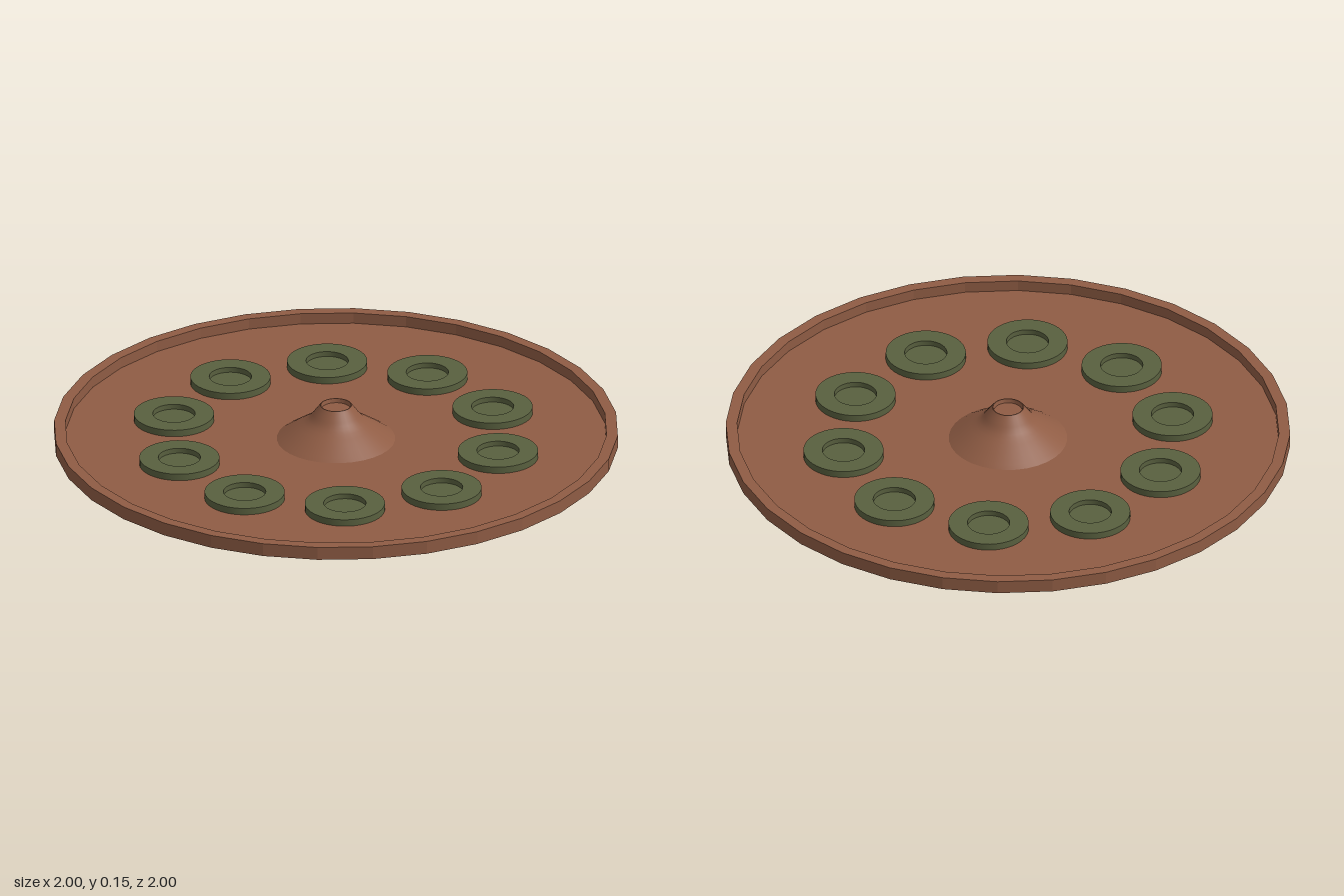
import * as THREE from 'three';
import { toCreasedNormals } from 'three/addons/utils/BufferGeometryUtils.js';

const clay = new THREE.MeshStandardMaterial({ color: 0x8f5c44 });
const clayFaceted = new THREE.MeshStandardMaterial({ color: 0x8f5c44, flatShading: true });
const green = new THREE.MeshStandardMaterial({ color: 0x59603f });

// Turned part from [radius, y] pairs, listed bottom to top along the outside
function turned(name, pairs, segments, material) {
  const points = pairs.map(([r, y]) => new THREE.Vector2(r, y));
  const geometry = toCreasedNormals(new THREE.LatheGeometry(points, segments), Math.PI / 6);
  const mesh = new THREE.Mesh(geometry, material);
  mesh.name = name;
  return mesh;
}

export function createModel() {
  const model = new THREE.Group();
  model.name = 'roundTray';

  // Shallow dish with a raised rim
  const dish = turned('dish', [
    [0, 0.012], [1, 0.012], [1, 0.06], [0.96, 0.06], [0.96, 0.02], [0, 0.02],
  ], 32, clayFaceted);
  dish.rotation.y = THREE.MathUtils.degToRad(2.25);
  model.add(dish);

  // Flared central hub with a shallow recess on top
  const flare = new THREE.SplineCurve([
    new THREE.Vector2(0.21, 0.02), new THREE.Vector2(0.15, 0.061),
    new THREE.Vector2(0.1, 0.095), new THREE.Vector2(0.075, 0.125),
    new THREE.Vector2(0.056, 0.15),
  ]).getPoints(12).map((p) => [p.x, p.y]);
  model.add(turned('hub', [...flare, [0.053, 0.15], [0.05, 0.135], [0, 0.135]], 32, clay));

  // Ring of ten cups set through the floor
  const cups = new THREE.Group();
  cups.name = 'cups';
  const count = 10;
  for (let i = 0; i < count; i++) {
    const angle = (i / count) * Math.PI * 2;
    const cup = turned('cup', [
      [0, 0], [0.142, 0], [0.142, 0.045], [0.075, 0.045], [0.075, 0.026], [0, 0.026],
    ], 40, green);
    cup.position.set(0.594 * Math.cos(angle), 0, 0.594 * Math.sin(angle));
    cups.add(cup);
  }
  model.add(cups);
  return model;
}
